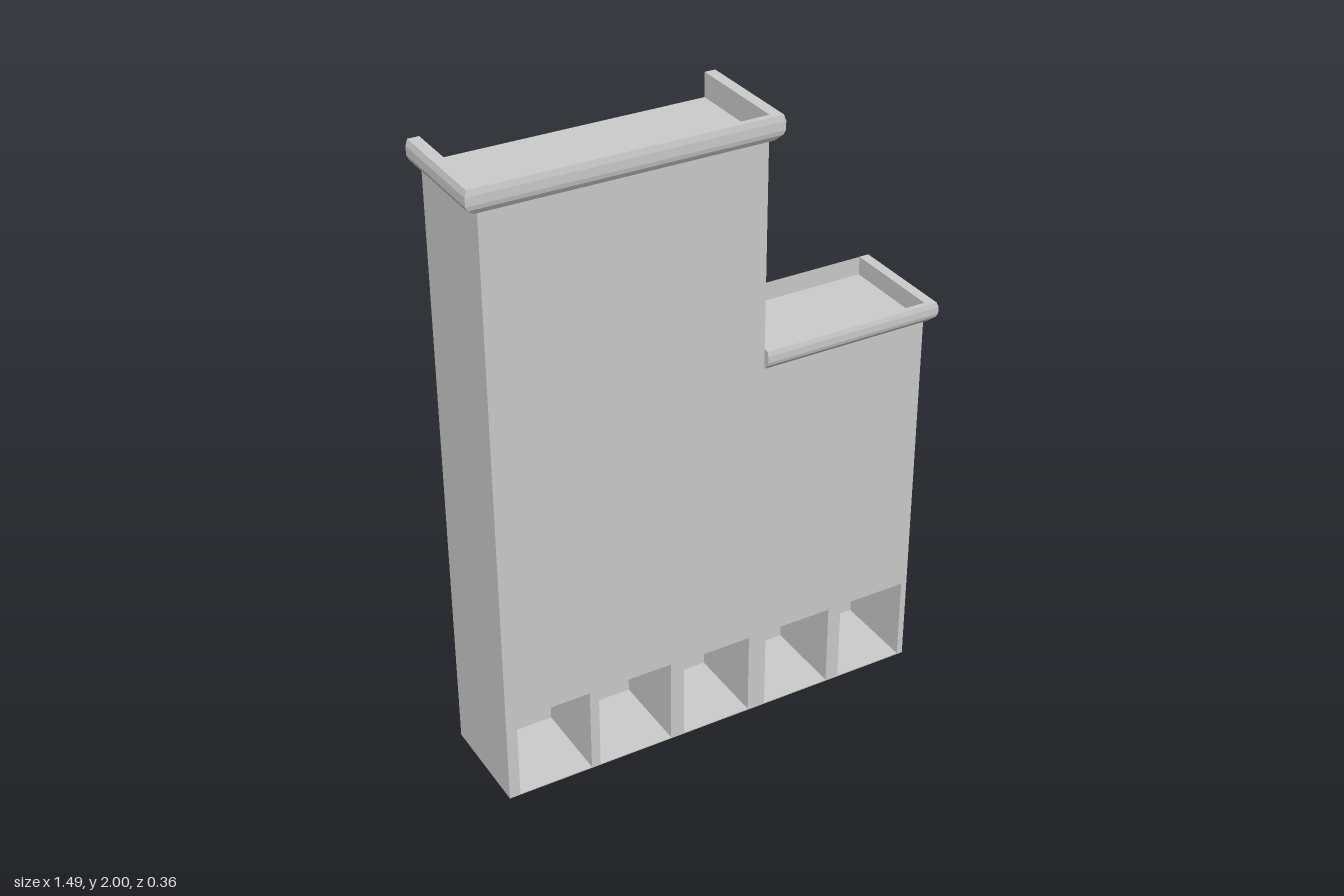
import * as THREE from 'three';

const W = 0.705, STEP = 0.155, TOP = 1.925, LOW = 1.225;
const BACK = -0.18, FRONT = 0.16, DEPTH = 0.27;

// Sweep a convex profile [overhang fraction, y] along wall corners [x, z, outX, outZ]
function sweepLip(path, profile) {
  const rings = path.map(([x, z, ox, oz]) => profile.map(([t, y]) => [x + t * ox, y, z + t * oz]));
  const pos = [];
  const tri = (a, b, c) => pos.push(...a, ...b, ...c);
  const n = profile.length;
  for (let i = 0; i < rings.length - 1; i++) {
    for (let j = 0; j < n; j++) {
      const k = (j + 1) % n, r = rings[i], s = rings[i + 1];
      tri(r[j], s[j], s[k]);
      tri(r[j], s[k], r[k]);
    }
  }
  const first = rings[0], last = rings[rings.length - 1];
  for (let j = 1; j < n - 1; j++) {
    tri(first[0], first[j], first[j + 1]);
    tri(last[0], last[j + 1], last[j]);
  }
  const geo = new THREE.BufferGeometry();
  geo.setAttribute('position', new THREE.Float32BufferAttribute(pos, 3));
  geo.computeVertexNormals();
  return geo;
}

// Cornice section: sloped underside, upright face, softened top edge
const lipProfile = (y, h) => [
  [0, y], [0.3, y], [0.85, y + 0.22 * h], [1, y + 0.4 * h],
  [1, y + 0.75 * h], [0.85, y + h], [0, y + h],
];

export function createModel() {
  const group = new THREE.Group();
  const material = new THREE.MeshStandardMaterial({ color: 0xcccccc, flatShading: true });
  const add = (name, geo) => {
    const mesh = new THREE.Mesh(geo, material);
    mesh.name = name;
    group.add(mesh);
    return mesh;
  };

  // Stepped building outline
  const outline = () => new THREE.Shape([
    [-W, 0], [W, 0], [W, LOW], [STEP, LOW], [STEP, TOP], [-W, TOP],
  ].map(([x, y]) => new THREE.Vector2(x, y)));

  // Front of the building with five open bays at street level
  const facade = outline();
  const bays = [[-0.67, -0.43], [-0.4, -0.155], [-0.11, 0.12], [0.18, 0.41], [0.455, 0.685]];
  bays.forEach(([a, b], i) => {
    const h = i < 2 ? 0.285 : 0.28;
    facade.holes.push(new THREE.Path([
      new THREE.Vector2(a, 0.004), new THREE.Vector2(a, h),
      new THREE.Vector2(b, h), new THREE.Vector2(b, 0.004),
    ]));
  });
  add('facadeWithBays', new THREE.ExtrudeGeometry(facade, { depth: DEPTH, bevelEnabled: false }))
    .position.z = FRONT - DEPTH;

  // Solid rear of the building, closing the bays
  add('rearWall', new THREE.ExtrudeGeometry(outline(), { depth: FRONT - DEPTH - BACK, bevelEnabled: false }))
    .position.z = BACK;

  // Tall roof cornice on three sides, open at the back
  add('upperCornice', sweepLip([
    [-W, BACK, -0.04, 0], [-W, FRONT, -0.04, 0.02],
    [STEP, FRONT, 0.04, 0.02], [STEP, BACK, 0.04, 0],
  ], lipProfile(TOP, 0.075)));

  // Low roof cornice on the front and outer side
  add('lowerCornice', sweepLip([
    [STEP, FRONT, 0, 0.02], [W, FRONT, 0.038, 0.02], [W, BACK, 0.038, 0],
  ], lipProfile(LOW, 0.06)));

  // Thin inward-facing parapet at the back of the low roof
  add('lowerBackParapet', new THREE.PlaneGeometry(W - STEP, 0.06))
    .position.set((W + STEP) / 2, LOW + 0.03, BACK + 0.001);

  return group;
}
